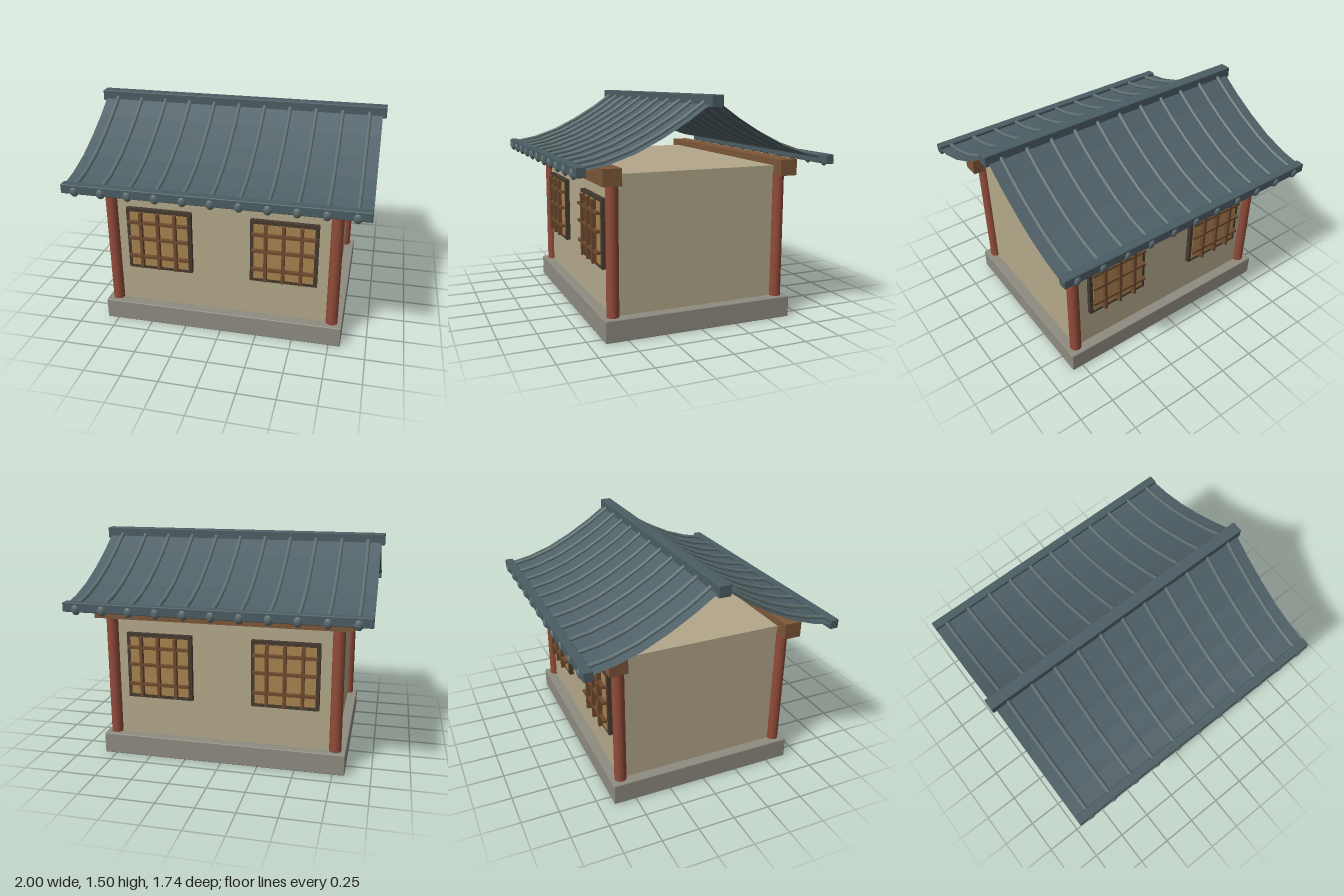
import * as THREE from 'three';
import { RoundedBoxGeometry } from 'three/addons/geometries/RoundedBoxGeometry.js';

const mat = (color, extra = {}) => new THREE.MeshStandardMaterial({ color, ...extra });
const M = {
  stone: mat(0x8f8b80), plaster: mat(0xb3a88a), column: mat(0x914b39), beam: mat(0x7d5739),
  frame: mat(0x463a30), panel: mat(0xa8834f), lattice: mat(0x6f4b2f),
  tile: mat(0x4f6067, { side: THREE.DoubleSide, flatShading: true }),
  rib: mat(0x5f7072), ridge: mat(0x4b5d63),
};

function add(parent, name, geometry, material, x = 0, y = 0, z = 0) {
  const mesh = new THREE.Mesh(geometry, material);
  mesh.name = name;
  mesh.position.set(x, y, z);
  parent.add(mesh);
  return mesh;
}
const box = (w, h, d) => new THREE.BoxGeometry(w, h, d);
const softBox = (w, h, d) => new RoundedBoxGeometry(w, h, d, 1, 0.006);

// Sagging roof profile from ridge to eave, as [z, y]
const PROFILE = [[0, 1.468], [0.17, 1.35], [0.335, 1.253], [0.5, 1.172], [0.67, 1.114], [0.84, 1.082]];
const HALF_ROOF = 0.975;

// Thin curved sheet of one roof slope
function slopeGeometry() {
  const pos = [], index = [];
  PROFILE.forEach(([z, y], i) => {
    pos.push(-HALF_ROOF, y, z, HALF_ROOF, y, z);
    if (i) {
      const a = 2 * i - 2;
      index.push(a, a + 2, a + 1, a + 1, a + 2, a + 3);
    }
  });
  const g = new THREE.BufferGeometry();
  g.setAttribute('position', new THREE.Float32BufferAttribute(pos, 3));
  g.setIndex(index);
  g.computeVertexNormals();
  return g;
}

// Round tile rib following the profile in straight pieces
function makeRib(x) {
  const rib = new THREE.Group();
  rib.name = 'tileRib';
  for (let i = 1; i < PROFILE.length; i++) {
    const a = new THREE.Vector3(x, PROFILE[i - 1][1] + 0.009, PROFILE[i - 1][0]);
    const b = new THREE.Vector3(x, PROFILE[i][1] + 0.009, PROFILE[i][0]);
    const dir = b.clone().sub(a);
    const mesh = add(rib, 'ribPiece', new THREE.CylinderGeometry(0.014, 0.014, dir.length(), 8), M.rib);
    mesh.position.copy(a).add(b).multiplyScalar(0.5);
    mesh.quaternion.setFromUnitVectors(new THREE.Vector3(0, 1, 0), dir.normalize());
  }
  return rib;
}

// Lattice window, facing +z
function makeWindow(x) {
  const w = new THREE.Group();
  w.name = 'window';
  w.position.set(x, 0.641, 0);
  add(w, 'windowFrame', box(0.45, 0.45, 0.04), M.frame, 0, 0, 0.59);
  add(w, 'windowPanel', box(0.4, 0.4, 0.03), M.panel, 0, 0, 0.6);
  for (const bx of [-0.118, 0, 0.118])
    add(w, 'verticalBar', box(0.02, 0.415, 0.03), M.lattice, bx, 0, 0.63);
  for (const by of [-0.122, 0.014, 0.132])
    add(w, 'horizontalBar', box(0.42, 0.018, 0.026), M.lattice, 0, by, 0.628);
  return w;
}

// Everything that repeats on the front and the back
function makeSide() {
  const side = new THREE.Group();
  for (const s of [-1, 1]) {
    add(side, 'column', new THREE.CylinderGeometry(0.04, 0.04, 0.86, 16), M.column, s * 0.76, 0.56, 0.58);
    side.add(makeWindow(s * 0.425));
  }
  add(side, 'eaveBeam', box(1.7, 0.106, 0.12), M.beam, 0, 1.023, 0.604);
  add(side, 'roofSlope', slopeGeometry(), M.tile);
  add(side, 'eaveEdge', softBox(HALF_ROOF * 2, 0.062, 0.06), M.ridge, 0, 1.08, 0.83);
  for (let i = -5; i <= 5; i++) {
    const x = i * 0.1775;
    side.add(makeRib(x));
    const cap = add(side, 'tileEndCap', new THREE.SphereGeometry(1, 12, 8), M.rib, x, 1.063, 0.852);
    cap.scale.set(0.028, 0.035, 0.018);
    cap.rotation.x = 0.2;
  }
  return side;
}

export function createModel() {
  const model = new THREE.Group();
  model.name = 'tileRoofHouse';
  add(model, 'stoneBase', softBox(1.66, 0.143, 1.3), M.stone, 0, 0.0715, 0);
  add(model, 'walls', box(1.52, 0.9, 1.16), M.plaster, 0, 0.58, 0);
  add(model, 'ridgeBeam', softBox(2, 0.076, 0.08), M.ridge, 0, 1.461, 0);
  const front = makeSide();
  front.name = 'frontSide';
  const back = makeSide();
  back.name = 'backSide';
  back.rotation.y = Math.PI;
  model.add(front, back);
  return model;
}
